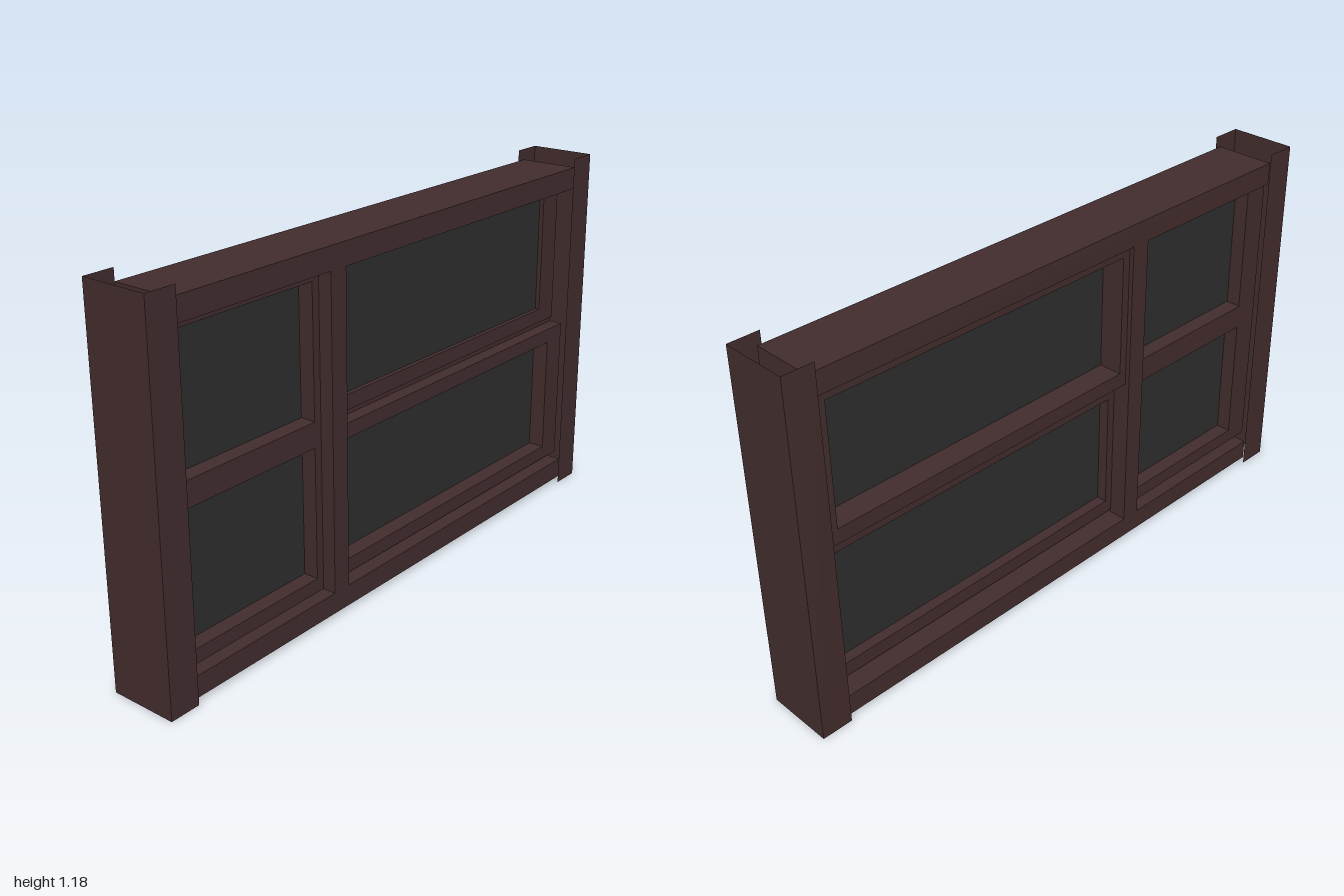
import * as THREE from 'three';

const frameMat = new THREE.MeshStandardMaterial({ color: 0x432d2e });
frameMat.name = 'brownFrame';
frameMat.side = THREE.DoubleSide;
const glassMat = new THREE.MeshStandardMaterial({ color: 0x2e2e2e });
glassMat.name = 'darkGlass';

// Box given by its limits on each axis
function block(name, [x0, x1], [y0, y1], [z0, z1], mat = frameMat) {
  const mesh = new THREE.Mesh(new THREE.BoxGeometry(x1 - x0, y1 - y0, z1 - z0), mat);
  mesh.position.set((x0 + x1) / 2, (y0 + y1) / 2, (z0 + z1) / 2);
  mesh.name = name;
  return mesh;
}

// Framed pane: outer limits in y and z, and the limits of the glass opening
function sash(name, x, y, z, openY, openZ) {
  const group = new THREE.Group();
  group.name = name;
  group.add(
    block('backStile', x, y, [z[0], openZ[0]]),
    block('frontStile', x, y, [openZ[1], z[1]]),
    block('bottomRail', x, [y[0], openY[0]], openZ),
    block('topRail', x, [openY[1], y[1]], openZ),
    block('glass', [-0.005, 0.005], openY, openZ, glassMat)
  );
  return group;
}

// Open U-shaped sheet channel standing at one end; side is +1 or -1
function channel(name, side) {
  const group = new THREE.Group();
  group.name = name;
  const height = 1.18, half = 0.11, depth = 0.1;
  const web = new THREE.Mesh(new THREE.PlaneGeometry(half * 2, height), frameMat);
  web.name = 'channelWeb';
  web.position.set(0, height / 2, side);
  if (side < 0) web.rotation.y = Math.PI;
  group.add(web);
  for (const s of [-1, 1]) {
    const flange = new THREE.Mesh(new THREE.PlaneGeometry(depth, height), frameMat);
    flange.name = 'channelFlange';
    flange.rotation.y = s * Math.PI / 2;
    flange.position.set(s * half, height / 2, side * (1 - depth / 2));
    group.add(flange);
  }
  return group;
}

export function createModel() {
  const model = new THREE.Group();
  model.name = 'window';

  // End channels
  model.add(channel('frontChannel', 1), channel('backChannel', -1));

  // Main frame
  const deep = [-0.1, 0.1];
  model.add(
    block('headRail', deep, [1.075, 1.147], [-0.92, 0.91]),
    block('sillRail', deep, [0.015, 0.083], [-0.92, 0.91]),
    block('mullion', deep, [0.083, 1.075], [0.262, 0.326])
  );

  // Fixed light with a crossbar
  const fixed = sash('fixedLight', [-0.055, 0.055], [0.083, 1.075], [0.326, 0.955], [0.128, 1.044], [0.353, 0.87]);
  fixed.add(block('crossbar', [-0.057, 0.057], [0.551, 0.631], [0.353, 0.87]));
  model.add(fixed);

  // Two sliding sashes, meeting at a thin seal
  const sashZ = [-0.95, 0.262], openZ = [-0.865, 0.235];
  model.add(
    sash('upperSash', [-0.085, 0.02], [0.599, 1.075], sashZ, [0.648, 1.044], openZ),
    sash('lowerSash', [-0.04, 0.06], [0.092, 0.583], sashZ, [0.139, 0.535], openZ),
    block('meetingSeal', [-0.035, 0.015], [0.583, 0.599], sashZ)
  );
  return model;
}
